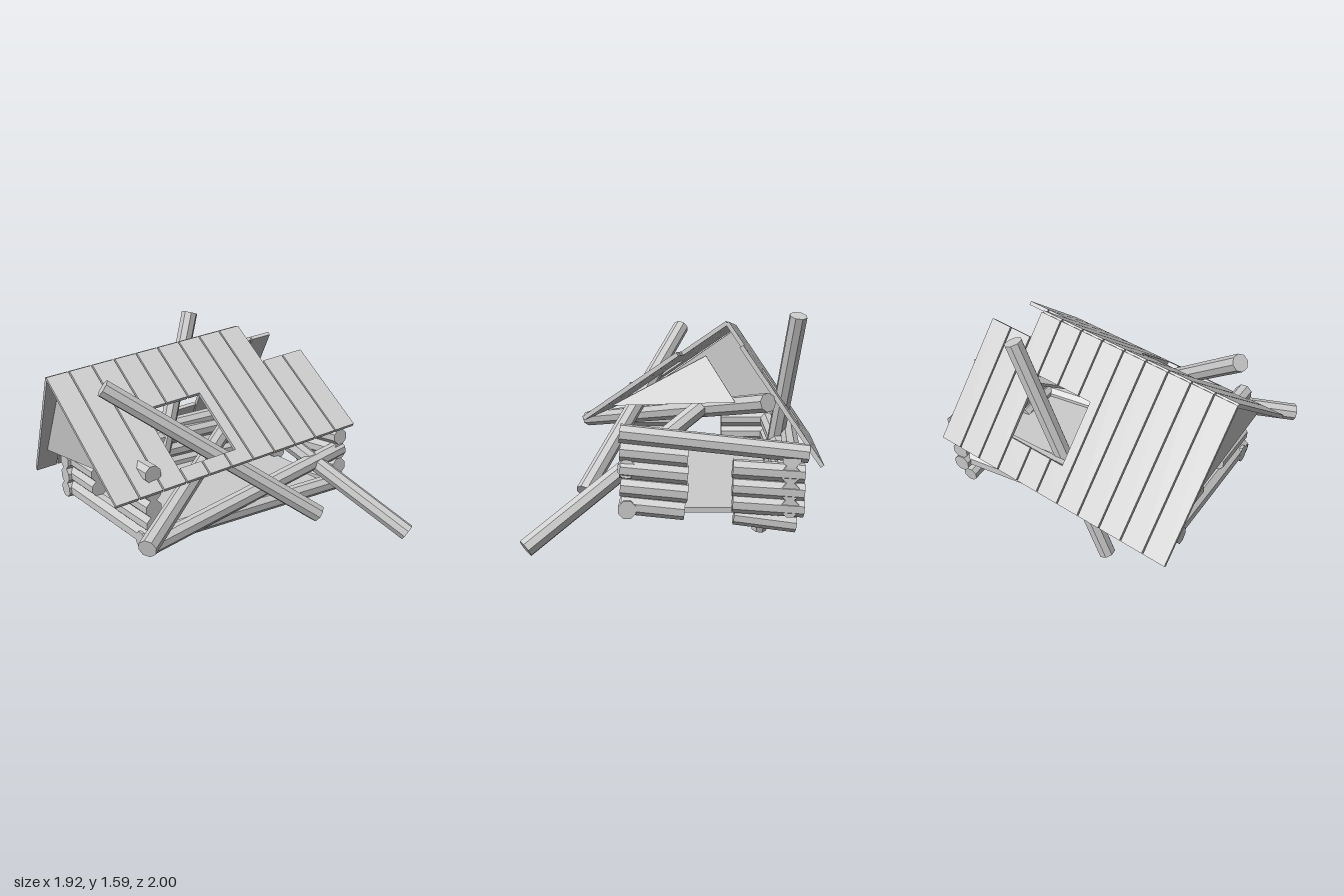
import * as THREE from 'three';

const V = (p) => new THREE.Vector3(...p);
const material = new THREE.MeshStandardMaterial({ color: 0xcccccc, flatShading: true });
const thinMaterial = new THREE.MeshStandardMaterial({ color: 0xcccccc, flatShading: true, side: THREE.DoubleSide });

function add(parent, name, geometry, mat = material) {
  const mesh = new THREE.Mesh(geometry, mat);
  mesh.name = name;
  parent.add(mesh);
  return mesh;
}

// Eight-sided log running between two points
function log(parent, name, from, to, radius = 0.057) {
  const a = V(from), b = V(to);
  const dir = b.clone().sub(a);
  const geometry = new THREE.CylinderGeometry(radius, radius, dir.length(), 8);
  geometry.rotateY(Math.PI / 8);
  const mesh = add(parent, name, geometry);
  mesh.position.copy(a).add(b).multiplyScalar(0.5);
  mesh.quaternion.setFromUnitVectors(new THREE.Vector3(0, 1, 0), dir.normalize());
}

// Roof: the ridge climbs towards the back, one step per plank
const STEP = V([0.0139, 0.0183, -0.1555]);
const RIDGE = V([-0.383, 1.372, 0.985]);

// Piece of plank i, from fraction f0 to f1 down the slope and w0 to w1 across its width
function plank(parent, name, down, i, f0, f1, w0 = 0, w1 = 0.94) {
  const along = down.clone().multiplyScalar(f1 - f0);
  const across = STEP.clone().multiplyScalar(w1 - w0);
  const normal = down.clone().cross(STEP).normalize().multiplyScalar(0.026);
  const centre = RIDGE.clone()
    .addScaledVector(STEP, i + (w0 + w1) / 2)
    .addScaledVector(down, (f0 + f1) / 2);
  const m = new THREE.Matrix4().makeBasis(along, across, normal).setPosition(centre);
  add(parent, name, new THREE.BoxGeometry(1, 1, 1).applyMatrix4(m));
}

// One slope with a hole (a run of planks, between two fractions) and broken rear planks
function roofSlope(name, eave, hole, rearStart) {
  const group = new THREE.Group();
  group.name = name;
  const down = V(eave).sub(RIDGE);
  for (let i = 0; i < 11; i++) {
    if (i >= hole.first && i <= hole.last) {
      plank(group, 'brokenPlankTop', down, i, 0, hole.top);
      plank(group, 'brokenPlankEnd', down, i, hole.bottom, 1);
      if (i === hole.split) plank(group, 'splitPlank', down, i, hole.top, hole.bottom, ...hole.keep);
    } else {
      plank(group, 'roofPlank', down, i, i >= 9 ? rearStart : 0, 1);
    }
  }
  return group;
}

// Thin gable panel; z is the depth at height y0, lean is the shift in z per unit of height
function gable(parent, name, points, z, y0, lean) {
  const shape = new THREE.Shape(points.map((p) => new THREE.Vector2(...p)));
  const geometry = new THREE.ExtrudeGeometry(shape, { depth: 0.02, bevelEnabled: false });
  const shear = new THREE.Matrix4().set(
    1, 0, 0, 0,
    0, 1, 0, 0,
    0.03, lean, 1, z - lean * y0,
    0, 0, 0, 1);
  add(parent, name, geometry.applyMatrix4(shear), thinMaterial);
}

export function createModel() {
  const model = new THREE.Group();
  model.name = 'ruinedLogCabin';

  const floor = add(model, 'floor', new THREE.BoxGeometry(0.98, 0.03, 1.54));
  floor.position.set(-0.12, 0.475, -0.045);

  // Front wall with a doorway above the bottom log
  const front = new THREE.Group();
  front.name = 'frontWall';
  model.add(front);
  log(front, 'sillLog', [-0.68, 0.5, 0.71], [0.42, 0.5, 0.71], 0.064);
  [0.605, 0.71, 0.815, 0.93].forEach((y, i) => {
    if (i < 2) log(front, 'wallLog', [-0.68, y, 0.71], [-0.27, y, 0.71]);
    log(front, 'wallLog', [0.02, y, 0.71], [0.41, y, 0.71]);
  });

  // Back wall: doorway under a sagging top log, its left half sunk lower
  const back = new THREE.Group();
  back.name = 'backWall';
  model.add(back);
  log(back, 'lintelLog', [-0.72, 0.82, -0.825], [0.375, 0.94, -0.82]);
  for (const y of [0.49, 0.59, 0.7]) log(back, 'wallLog', [-0.7, y, -0.82], [-0.28, y + 0.03, -0.82]);
  for (const y of [0.62, 0.73, 0.835]) log(back, 'wallLog', [-0.02, y - 0.04, -0.82], [0.375, y, -0.82]);
  log(back, 'saggingLog', [-0.66, 0.38, -0.79], [-0.29, 0.43, -0.79], 0.05);
  log(back, 'saggingLog', [0, 0.47, -0.81], [0.375, 0.51, -0.81]);

  // Side walls, the right one mostly collapsed
  const sides = new THREE.Group();
  sides.name = 'sideWalls';
  model.add(sides);
  for (const y of [0.5, 0.6, 0.705]) log(sides, 'wallLog', [-0.615, y, 0.785], [-0.615, y, -0.87]);
  log(sides, 'slippedLog', [-0.75, 0.72, 0.6], [-0.62, 0.8, -0.87]);
  log(sides, 'wallLog', [0.34, 0.49, 0.77], [0.335, 0.49, -0.87]);
  log(sides, 'slippedLog', [0.405, 0.465, 0.76], [0.335, 0.735, -0.86]);

  // Gables: whole at the front, torn and fallen inwards at the rear
  gable(model, 'frontGable', [[-0.8, 0.735], [0.3, 0.895], [-0.37, 1.355]], 0.84, 0.9, 0.1);
  gable(model, 'rearGable', [[-0.3, 1.09], [0.43, 1.07], [-0.13, 1.34]], -0.65, 1.09, 0.8);

  // Tilted plank roof
  model.add(roofSlope('rightRoofSlope', [0.443, 0.805, 0.985],
    { first: 3, last: 5, split: 5, keep: [0.5, 0.94], top: 0.43, bottom: 0.9 }, 0.33));
  model.add(roofSlope('leftRoofSlope', [-0.95, 0.55, 0.845],
    { first: 5, last: 7, split: 5, keep: [0, 0.4], top: 0.36, bottom: 0.78 }, 0.17));

  // Loose beams thrust through the cabin
  log(model, 'longBeam', [0.745, 0.66, 0.965], [-0.48, 1.12, -0.82]);
  log(model, 'roofBeam', [0.03, 1.385, 0.815], [0.635, 0.465, -0.405]);
  log(model, 'rearBeam', [0.92, 0.285, -0.955], [-0.1, 1.0, -0.35]);
  log(model, 'uprightPole', [-0.525, 0.02, 0.205], [-0.705, 1.57, -0.31]);

  return model;
}
